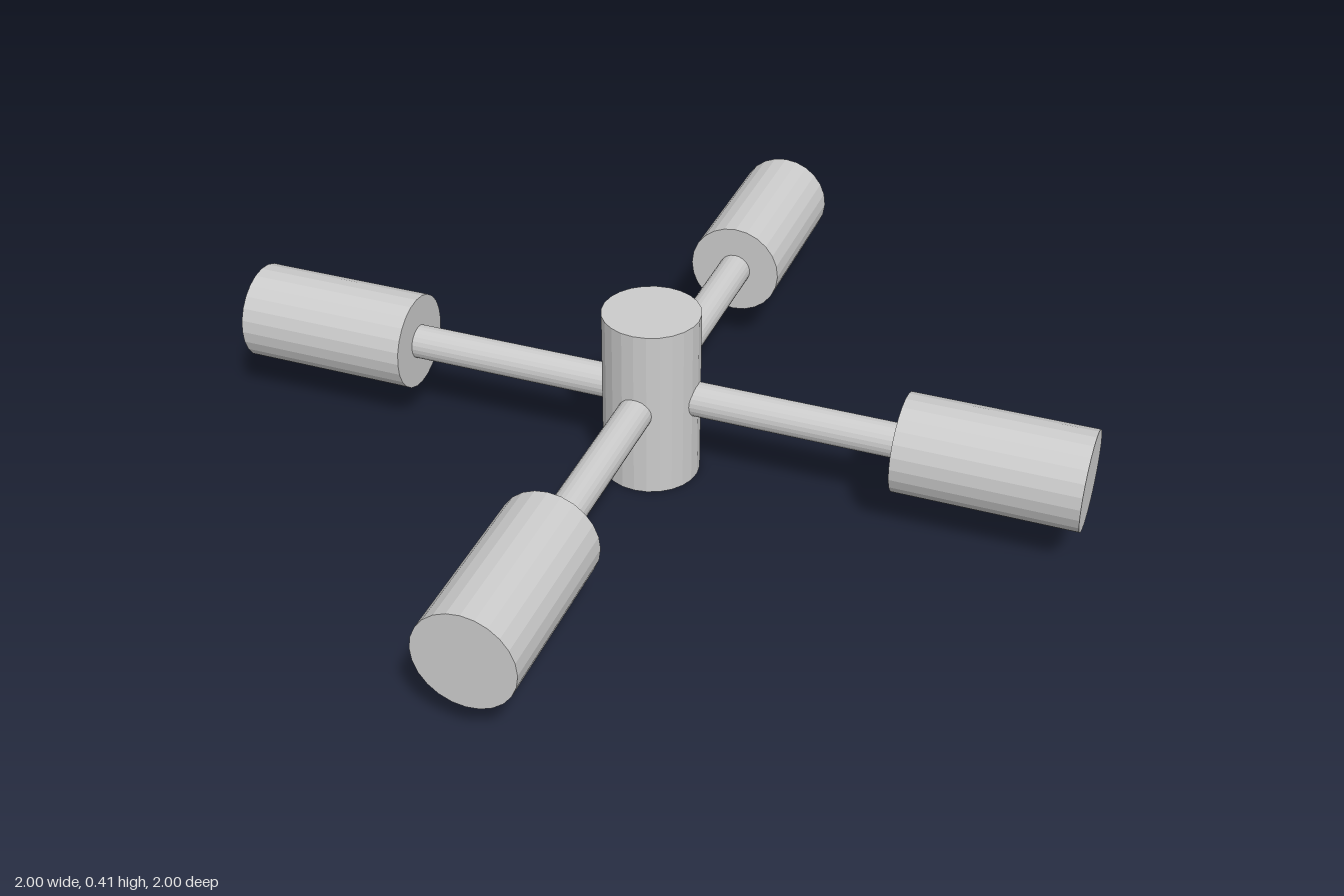
import * as THREE from 'three';

const RADIUS = 0.113, LENGTH = 0.413, ROD = 0.04, SIDES = 24;
const MID = LENGTH / 2;

export function createModel() {
  const model = new THREE.Group();
  model.name = 'crossFrame';
  const material = new THREE.MeshStandardMaterial({ color: 0xcccccc, flatShading: true });

  const drumGeometry = new THREE.CylinderGeometry(RADIUS, RADIUS, LENGTH, SIDES);
  const rodLength = 1 - LENGTH + 0.02;
  const rodGeometry = new THREE.CylinderGeometry(ROD, ROD, rodLength, SIDES);

  // Upright centre drum
  const hub = new THREE.Mesh(drumGeometry, material);
  hub.name = 'hub';
  hub.position.y = MID;
  model.add(hub);

  // Four arms: a thin rod ending in a drum
  ['leftArm', 'backArm', 'rightArm', 'frontArm'].forEach((name, i) => {
    const arm = new THREE.Group();
    arm.name = name;
    arm.position.y = MID;
    arm.rotation.y = i * Math.PI / 2;

    const rod = new THREE.Mesh(rodGeometry, material);
    rod.name = 'rod';
    rod.rotation.z = -Math.PI / 2;
    rod.position.x = rodLength / 2;

    const drum = new THREE.Mesh(drumGeometry, material);
    drum.name = 'endDrum';
    drum.rotation.z = -Math.PI / 2;
    drum.position.x = 1 - LENGTH / 2;

    arm.add(rod, drum);
    model.add(arm);
  });

  return model;
}
